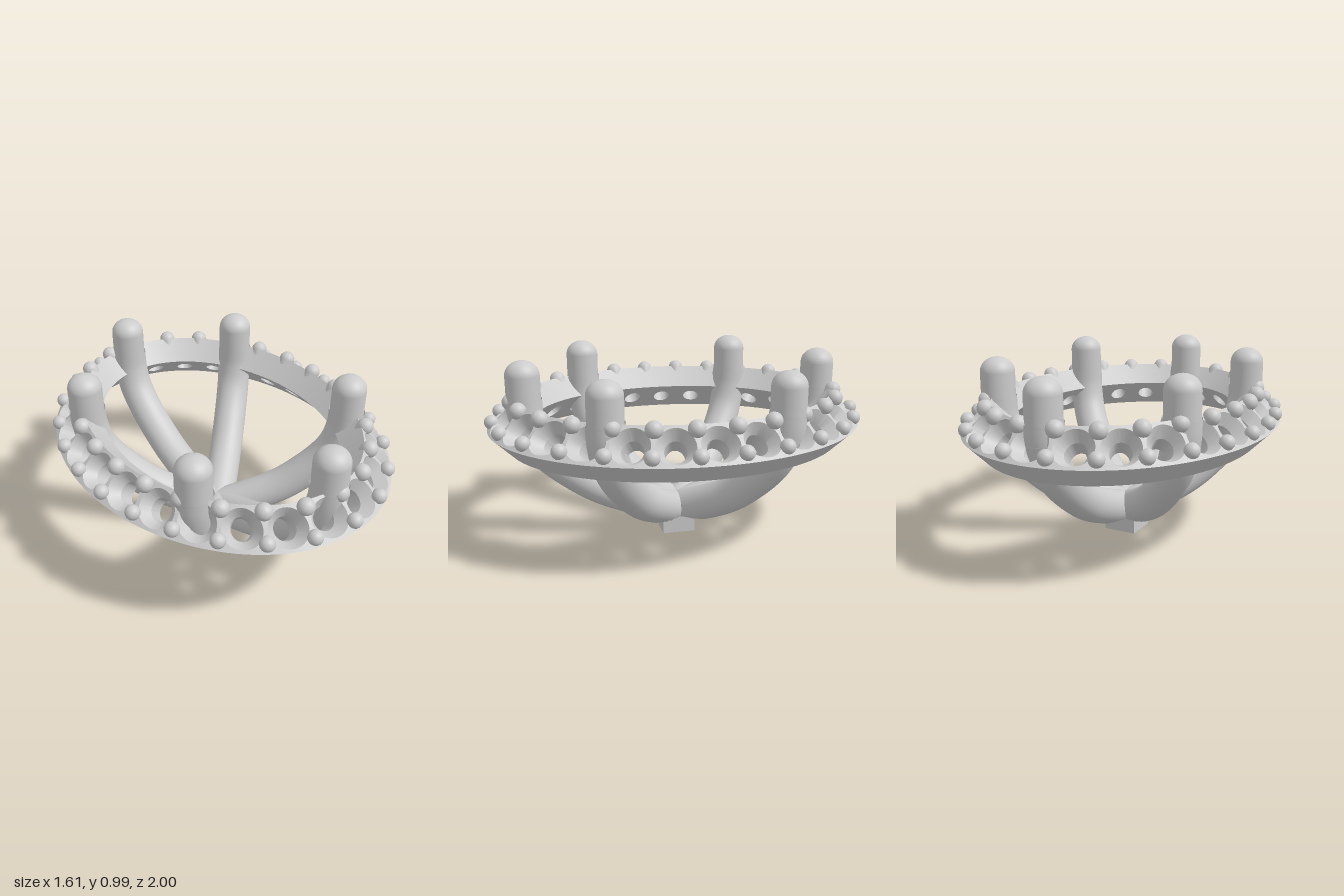
import * as THREE from 'three';
import { mergeGeometries, toCreasedNormals } from 'three/addons/utils/BufferGeometryUtils.js';

const COUNT = 25;            // stone seats around the halo
const R = 0.7175;            // mid radius in x
const STRETCH = 0.2;         // extra radius in z
const HALF_V = 0.109;        // half width of the sloped top face
const THICK = 0.146;         // band thickness
const S = Math.SQRT1_2;

const oval = new THREE.EllipseCurve(0, 0, R + STRETCH, R, 0, Math.PI * 2);
oval.arcLengthDivisions = 1200;
const PITCH = oval.getLength() / COUNT;

// u = arc length from the front, v = up the slope, w = out of the slope
function haloPoint(u, v, w) {
  const f = (((u / oval.getLength()) % 1) + 1) % 1;
  const t = oval.getUtoTmapping(f) * Math.PI * 2;
  const r = R + (w - v) * S;
  return new THREE.Vector3(r * Math.sin(t), 0.7075 + (v + w) * S, (r + STRETCH) * Math.cos(t));
}

// Band of square cells, each with a countersunk through hole
function haloGeometry() {
  const N = 40, pos = [];
  const square = (w) => (a) => {
    const c = Math.cos(a), s = Math.sin(a), m = Math.max(Math.abs(c), Math.abs(s));
    return [c / m * PITCH / 2, s / m * HALF_V, w];
  };
  const circle = (r, w) => (a) => [r * Math.cos(a), r * Math.sin(a), w];
  const loops = [square(0), circle(0.094, 0), circle(0.056, -0.06),
    circle(0.052, -THICK), square(-THICK), square(0)];
  for (let k = 0; k < COUNT; k++) {
    const at = (j, i) => {
      const [u, v, w] = loops[j]((i % N) / N * Math.PI * 2);
      return haloPoint((k + 0.5) * PITCH + u, v, w);
    };
    for (let j = 0; j < loops.length - 1; j++) {
      for (let i = 0; i < N; i++) {
        // neighbouring cells share their end faces, so only the rims are closed
        if (j === 4 && Math.abs(Math.sin((i + 0.5) / N * Math.PI * 2)) < S) continue;
        const a = at(j, i), b = at(j, i + 1), c = at(j + 1, i), d = at(j + 1, i + 1);
        for (const p of [a, b, c, b, d, c]) pos.push(p.x, p.y, p.z);
      }
    }
  }
  const g = new THREE.BufferGeometry();
  g.setAttribute('position', new THREE.Float32BufferAttribute(pos, 3));
  return toCreasedNormals(g, 0.5);
}

// Round-headed bead on a tapering stem
function beadGeometry(r) {
  const pts = [new THREE.Vector2(0.014, -0.09)];
  for (let i = 0; i <= 8; i++) {
    const a = -0.5 + (Math.PI / 2 + 0.5) * i / 8;
    pts.push(new THREE.Vector2(Math.max(0, r * Math.cos(a)), r * Math.sin(a)));
  }
  return new THREE.LatheGeometry(pts, 18);
}

// Curved arm in the z-y plane, cut flat at its underside
function armGeometry(reach) {
  const k = reach / 0.8;
  const path = new THREE.CatmullRomCurve3([
    [0, 0.115], [0.22, 0.19], [0.42, 0.275], [0.57, 0.375], [0.69, 0.48], [0.76, 0.575], [0.795, 0.69], [0.8, 0.78],
  ].map(([d, y]) => new THREE.Vector3(0, y, d * k)));
  const g = new THREE.TubeGeometry(path, 40, 0.094, 32);
  const p = g.attributes.position;
  for (let i = 0; i < p.count; i++) p.setY(i, Math.max(0.11, p.getY(i)));
  return toCreasedNormals(g, 0.5);
}

// Upright prong with a domed tip
function prongGeometry() {
  const r = 0.089, pts = [new THREE.Vector2(r, 0.68)];
  for (let i = 0; i <= 10; i++) {
    const a = Math.PI / 2 * i / 10;
    pts.push(new THREE.Vector2(Math.max(0, r * Math.cos(a)), 0.908 + 0.077 * Math.sin(a)));
  }
  return new THREE.LatheGeometry(pts, 36);
}

export function createModel() {
  const model = new THREE.Group();
  const mat = new THREE.MeshStandardMaterial({ color: 0xcccccc, side: THREE.DoubleSide });
  const add = (name, geometry, parent = model) => {
    const m = new THREE.Mesh(geometry, mat);
    m.name = name;
    parent.add(m);
    return m;
  };

  add('haloBand', haloGeometry());

  // Pairs of beads between neighbouring seats
  const up = new THREE.Vector3(0, 1, 0);
  for (const [name, v, r] of [['lowerBeads', -0.062, 0.038], ['upperBeads', 0.08, 0.043]]) {
    const parts = [];
    for (let k = 0; k < COUNT; k++) {
      const p = haloPoint(k * PITCH, v, 0.01);
      const axis = haloPoint(k * PITCH, v, 0.1).sub(p).normalize();
      const q = new THREE.Quaternion().setFromUnitVectors(up, axis);
      parts.push(beadGeometry(r).applyQuaternion(q).translate(p.x, p.y, p.z));
    }
    add(name, mergeGeometries(parts));
  }

  // Six arms, each ending in a prong
  for (const [x, z] of [[0, 0.8], [0, -0.8], [0.515, 0.445], [-0.515, 0.445], [0.515, -0.445], [-0.515, -0.445]]) {
    const reach = Math.hypot(x, z);
    const support = new THREE.Group();
    support.name = 'support';
    support.rotation.y = Math.atan2(x, z);
    add('arm', armGeometry(reach), support);
    add('prong', prongGeometry(), support).position.z = reach;
    model.add(support);
  }

  // Square post under the hub
  add('basePost', new THREE.BoxGeometry(0.178, 0.13, 0.178)).position.y = 0.065;
  return model;
}
